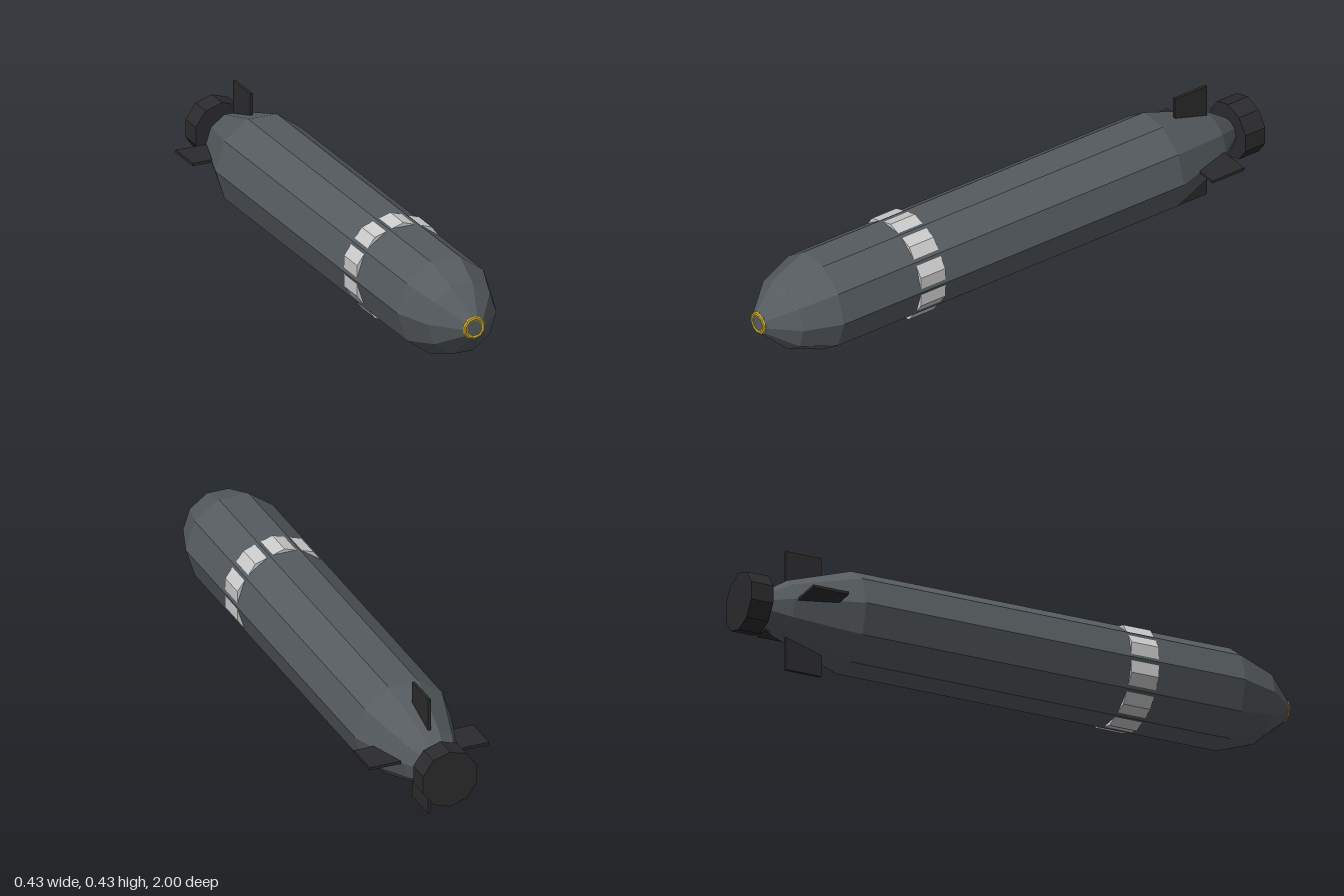
import * as THREE from 'three';

const SIDES = 10;
const AXIS_Y = 0.215;

const mat = (color) => new THREE.MeshStandardMaterial({ color, flatShading: true });

// Ten-sided solid of revolution along z; profile is [z, radius] from tail to nose.
// turn = 0 puts a corner on +x, turn = PI / 10 puts a corner at the top.
function turned(name, profile, turn, material) {
  const points = profile.map(([z, r]) => new THREE.Vector2(r, z));
  const geometry = new THREE.LatheGeometry(points, SIDES);
  geometry.rotateX(Math.PI / 2);
  geometry.rotateZ(Math.PI / 2 + turn);
  const mesh = new THREE.Mesh(geometry, material);
  mesh.name = name;
  return mesh;
}

export function createModel() {
  const model = new THREE.Group();
  model.name = 'torpedo';
  const hullMat = mat(0x555b5f);
  const bandMat = mat(0xc4c4c4);
  const darkMat = mat(0x2b2b2d);
  const goldMat = mat(0xc9a227);
  const assembly = new THREE.Group();
  assembly.name = 'body';
  assembly.position.y = AXIS_Y;
  model.add(assembly);

  const half = Math.PI / SIDES;

  // Hull with tapered tail and blunt nose
  assembly.add(turned('hull', [
    [-0.92, 0], [-0.92, 0.045], [-0.84, 0.1], [-0.615, 0.173],
    [0.77, 0.173], [0.9, 0.126], [0.997, 0.035], [0.997, 0],
  ], 0, hullMat));

  // Pale band, turned half a step so its corners break through the hull flats
  assembly.add(turned('band', [
    [0.355, 0], [0.355, 0.178], [0.455, 0.178], [0.455, 0],
  ], half, bandMat));

  // Tail drum
  assembly.add(turned('propellerDrum', [
    [-1, 0], [-1, 0.1025], [-0.92, 0.1025], [-0.92, 0],
  ], half, darkMat));

  // Gold ring at the nose tip
  const ring = new THREE.Mesh(new THREE.TorusGeometry(0.033, 0.008, 8, SIDES), goldMat);
  ring.name = 'noseRing';
  ring.rotation.z = half;
  ring.position.z = 0.992;
  assembly.add(ring);

  // Four tail fins
  for (let i = 0; i < 4; i++) {
    const geometry = new THREE.BoxGeometry(0.175, 0.01, 0.13);
    geometry.translate(0.1275, 0, -0.765);
    const fin = new THREE.Mesh(geometry, darkMat);
    fin.name = 'tailFin' + (i + 1);
    fin.rotation.z = (i * Math.PI) / 2;
    assembly.add(fin);
  }

  return model;
}
